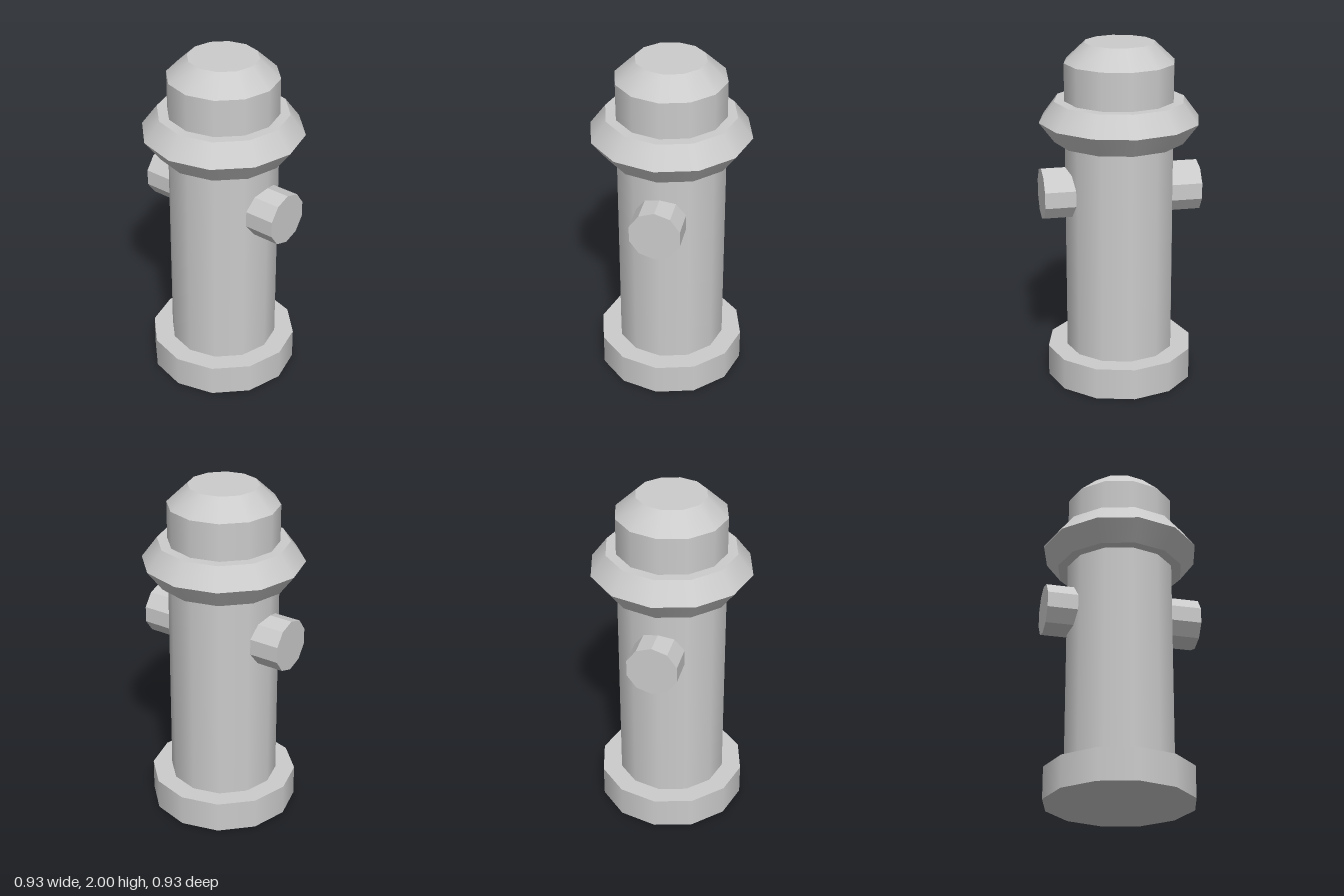
import * as THREE from 'three';

const SIDES = 12;

export function createModel() {
  const model = new THREE.Group();
  model.name = 'fireHydrant';
  const smooth = new THREE.MeshStandardMaterial({ color: 0xcccccc });
  const faceted = new THREE.MeshStandardMaterial({ color: 0xcccccc, flatShading: true });

  // One twelve-sided band of the upright, from height y0 to y1
  function band(name, r0, r1, y0, y1, openEnded = false) {
    const geometry = new THREE.CylinderGeometry(r1, r0, y1 - y0, SIDES, 1, openEnded);
    const mesh = new THREE.Mesh(geometry, smooth);
    mesh.name = name;
    mesh.position.y = (y0 + y1) / 2;
    model.add(mesh);
  }

  band('base', 0.432, 0.432, 0, 0.185);
  band('barrel', 0.317, 0.317, 0.185, 1.44, true);
  band('collarLower', 0.375, 0.463, 1.44, 1.557);
  band('collarUpper', 0.463, 0.375, 1.557, 1.675);
  band('neck', 0.317, 0.317, 1.675, 1.89, true);
  band('cap', 0.317, 0.2, 1.89, 2);

  // Ten-sided side outlets, sunk into the barrel, with a corner at the top
  const inner = 0.2, outer = 0.456;
  for (const side of [1, -1]) {
    const geometry = new THREE.CylinderGeometry(0.15, 0.15, outer - inner, 10, 1, false, Math.PI / 2);
    const outlet = new THREE.Mesh(geometry, faceted);
    outlet.name = side > 0 ? 'leftOutlet' : 'rightOutlet';
    outlet.rotation.z = -side * Math.PI / 2;
    outlet.position.set(side * (inner + outer) / 2, 1.14, 0);
    model.add(outlet);
  }

  return model;
}
